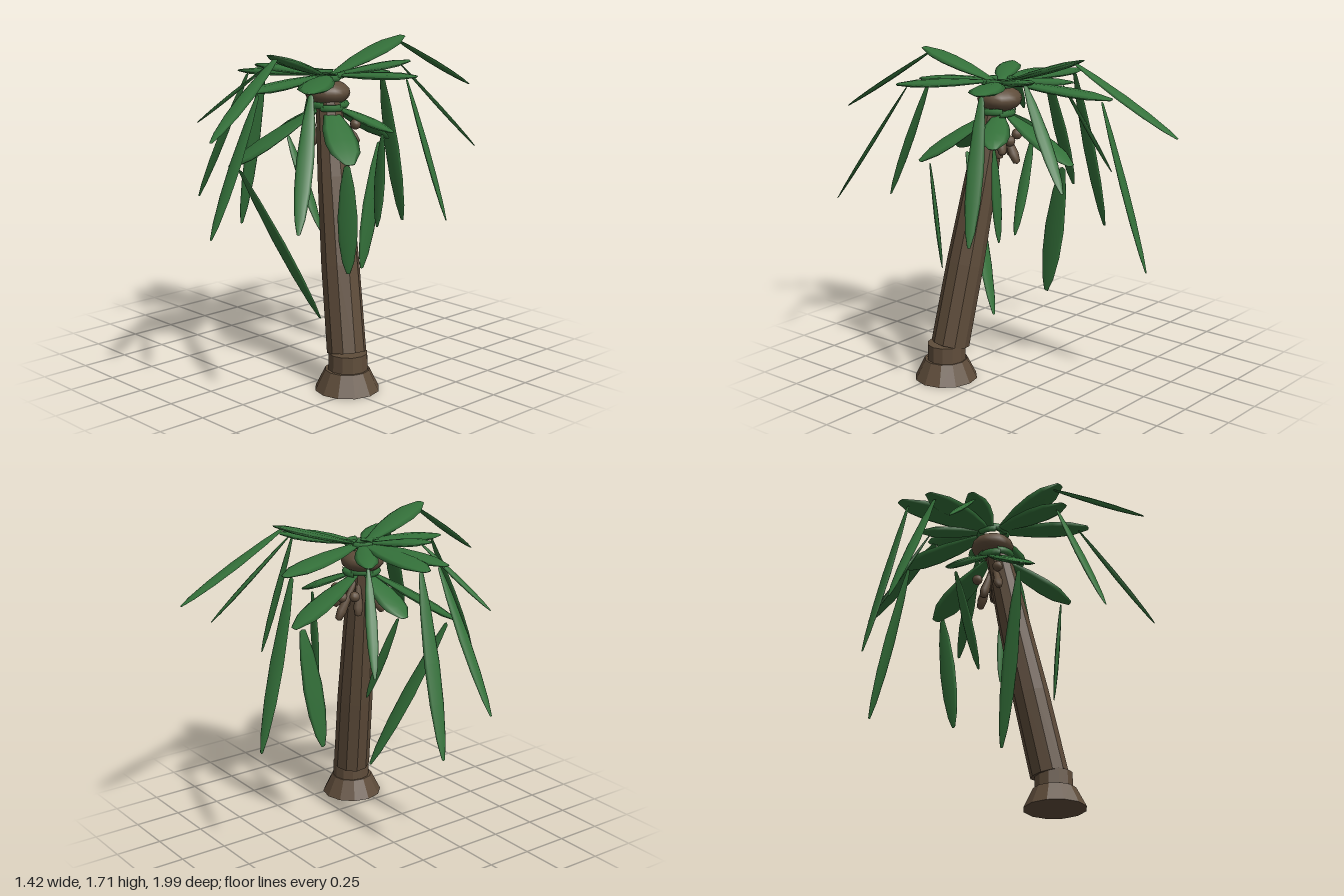
import * as THREE from 'three';

const V = (x, y, z) => new THREE.Vector3(x, y, z);

export function createModel() {
  const tree = new THREE.Group();
  tree.name = 'palmTree';
  const green = new THREE.MeshStandardMaterial({ color: 0x34713a });
  green.name = 'leafGreen';
  const bark = new THREE.MeshStandardMaterial({ color: 0x5e4c3a, flatShading: true });
  bark.name = 'barkBrown';
  const husk = bark.clone();
  husk.flatShading = false;
  husk.name = 'huskBrown';

  const add = (name, geo, mat, parent = tree) => {
    const mesh = new THREE.Mesh(geo, mat);
    mesh.name = name;
    parent.add(mesh);
    return mesh;
  };

  // Stretch a unit-tall geometry from a to b, with its local x along a width hint
  const span = (mesh, a, b, w, t, hint) => {
    const dir = b.clone().sub(a);
    const len = dir.length();
    dir.normalize();
    const x = hint.clone().addScaledVector(dir, -hint.dot(dir)).normalize();
    const z = x.clone().cross(dir);
    mesh.quaternion.setFromRotationMatrix(new THREE.Matrix4().makeBasis(x, dir, z));
    mesh.scale.set(w / 2, len, t / 2);
    mesh.position.copy(a);
    return mesh;
  };

  const lathe = (pts, n) =>
    new THREE.LatheGeometry(pts.map(([r, y]) => new THREE.Vector2(r, y)), n);
  const innerLeaf = lathe(
    [[0, 0], [0.3, 0.01], [0.55, 0.16], [0.88, 0.38], [1, 0.62], [0.88, 0.8], [0.3, 0.99], [0, 1]], 8);
  const outerLeaf = lathe(
    [[0, 0], [0.3, 0.01], [0.72, 0.2], [1, 0.48], [0.92, 0.7], [0.6, 0.89], [0.2, 0.995], [0, 1]], 8);

  // Trunk: flared foot, collar and a long leaning stem that swells a little midway
  const foot = add('trunkFoot', new THREE.CylinderGeometry(0.113, 0.165, 0.105, 12), bark);
  foot.position.set(0.43, 0.0525, 0.215);
  const collar = add('trunkCollar', new THREE.CylinderGeometry(0.1, 0.103, 0.11, 12), bark);
  collar.position.set(0.43, 0.135, 0.21);
  const stemGeo = lathe([[0, 0], [1, 0], [0.97, 0.35], [0.84, 0.7], [0.66, 1], [0, 1]], 10);
  span(add('trunkStem', stemGeo, bark), V(0.41, 0.185, 0.2), V(0.165, 1.42, 0.095), 0.2, 0.2, V(1, 0, 0));

  // Crown bulb
  const cx = 0.14, cz = 0.08;
  const bulb = add('crownBulb', new THREE.SphereGeometry(1, 16, 10), husk);
  bulb.position.set(cx, 1.462, cz);
  bulb.scale.set(0.115, 0.066, 0.115);

  // Leaf sheaths above and below the bulb
  for (const [x, y, z, r] of [[cx, 1.54, cz, 0.075], [0.16, 1.395, 0.088, 0.085]]) {
    for (let i = 0; i < 6; i++) {
      const arc = add('leafSheath', new THREE.TorusGeometry(r, 0.018, 6, 5, 1.2), green);
      arc.position.set(x, y + (i % 2) * 0.012, z);
      arc.rotation.set(Math.PI / 2, 0, i * Math.PI / 3);
    }
  }

  // One frond: broad inner blade to the elbow, narrow outer blade hanging from it
  const frond = (name, y0, elbow, tip, w1, w2, hint) => {
    const g = new THREE.Group();
    g.name = name;
    tree.add(g);
    const e = V(...elbow), t = V(...tip);
    const radial = V(e.x - cx, 0, e.z - cz).normalize();
    const side = V(radial.z, 0, -radial.x);
    const start = V(cx, y0, cz).addScaledVector(radial, 0.04);
    span(add('innerBlade', innerLeaf, green, g), start, e, w1, 0.036, side);
    const hang = e.clone().addScaledVector(radial, -0.055);
    hang.y -= 0.012;
    span(add('outerBlade', outerLeaf, green, g), hang, t, w2, 0.02, hint ? V(...hint) : side);
  };

  // Upper fronds: elbow, tip, inner width, outer width
  [
    [[0.15, 1.71, -0.45], [0.14, 1.4, -1.0], 0.18, 0.09],
    [[0.22, 1.69, 0.53], [0.335, 1.34, 0.99], 0.17, 0.09],
    [[-0.02, 1.5, -0.51], [-0.07, 0.63, -0.7], 0.17, 0.09],
    [[0.36, 1.61, -0.29], [0.52, 1.15, -0.62], 0.14, 0.07],
    [[0.55, 1.56, -0.14], [0.705, 0.85, -0.2], 0.17, 0.085],
    [[0.46, 1.53, 0.5], [0.66, 0.93, 0.75], 0.17, 0.085],
    [[-0.47, 1.54, 0.02], [-0.66, 0.62, -0.01], 0.18, 0.09],
    [[-0.42, 1.53, 0.19], [-0.71, 0.81, 0.25], 0.15, 0.08],
    [[-0.2, 1.52, -0.13], [-0.4, 1.02, -0.24], 0.12, 0.06],
    [[-0.19, 1.59, 0.27], [-0.48, 1.27, 0.43], 0.13, 0.055],
    [[0.16, 1.51, 0.61], [0.16, 0.83, 0.86], 0.16, 0.08],
  ].forEach(([e, t, a, b]) => frond('upperFrond', 1.55, e, t, a, b));

  // Lower drooping fronds, with the width direction of the hanging blade
  [
    [[-0.09, 1.1, 0.54], [0.14, 0.28, 0.13], 0.23, 0.1, [1, 0, 0]],
    [[0.52, 1.17, 0.29], [0.44, 0.6, 0.22], 0.17, 0.1, [0.8, 0, -0.6]],
    [[0.12, 1.17, -0.37], [0.11, 0.48, -0.2], 0.17, 0.12, [0, 0, 1]],
    [[-0.2, 1.22, 0.1], [0.06, 0.72, 0.05], 0.16, 0.07, [0, 0, 1]],
    [[0.42, 1.27, -0.11], [0.34, 0.77, -0.08], 0.15, 0.075, [1, 0, 0]],
  ].forEach(([e, t, a, b, h]) => frond('lowerFrond', 1.39, e, t, a, b, h));

  // Seed pods hanging below the crown
  const podGeo = lathe([[0, 0], [0.45, 0.01], [0.6, 0.4], [1, 0.8], [0.7, 0.97], [0, 1]], 8);
  [
    [0.17, 1.145, -0.06], [0.23, 1.17, 0.01], [0.11, 1.165, 0.03],
    [0.09, 1.17, 0.18], [0.25, 1.2, -0.03],
  ].forEach((p) => span(add('seedPod', podGeo, husk), V(0.16, 1.38, 0.07), V(...p), 0.052, 0.052, V(1, 0, 0)));

  // Round nuts
  const nutGeo = new THREE.SphereGeometry(0.028, 10, 8);
  [[0.265, 1.295, 0.08], [0.24, 1.3, -0.02], [0.1, 1.28, 0.0], [0.18, 1.26, -0.02], [0.1, 1.3, 0.16]]
    .forEach((p) => add('nut', nutGeo, husk).position.set(...p));

  return tree;
}
